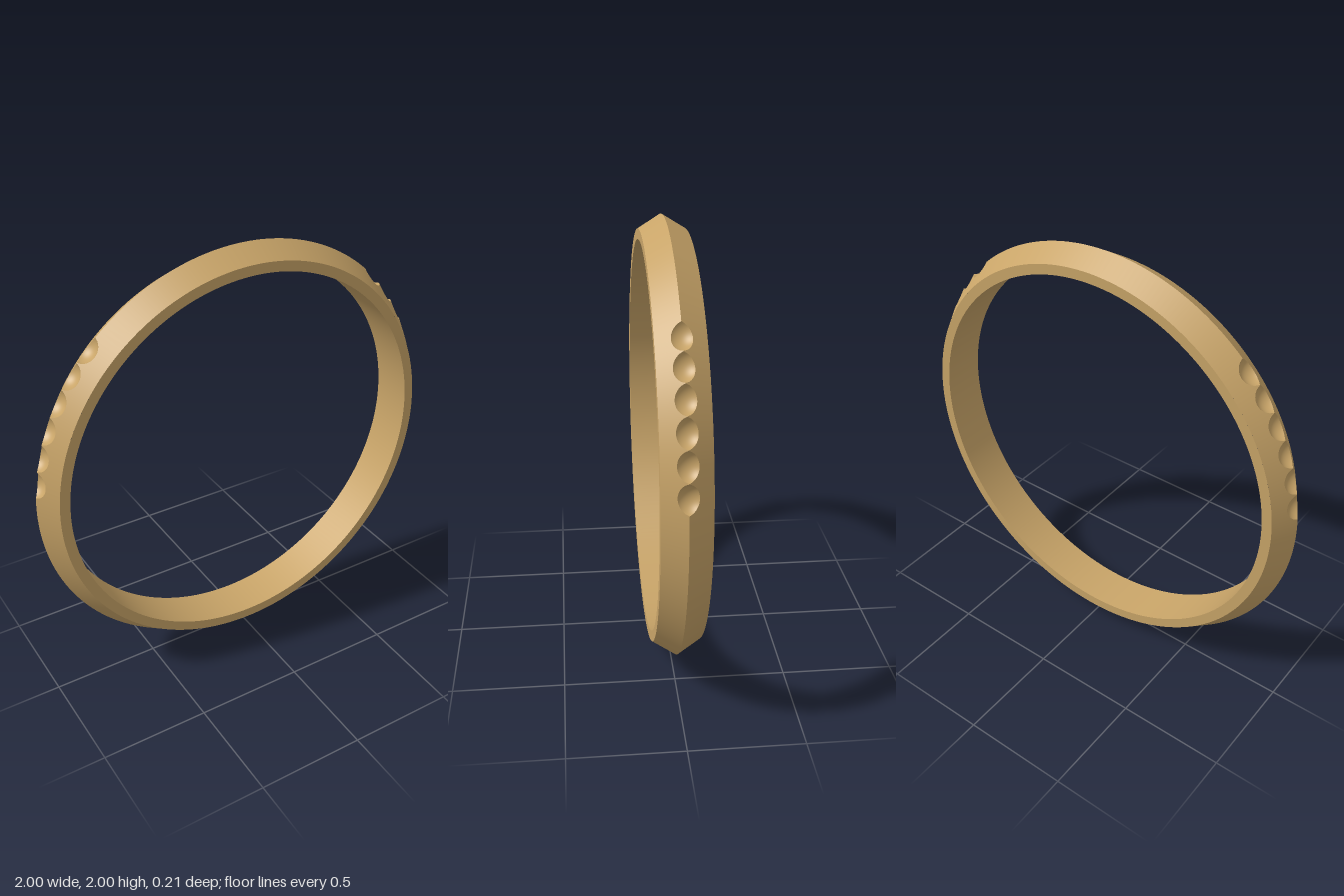
import * as THREE from 'three';
import { mergeGeometries } from 'three/addons/utils/BufferGeometryUtils.js';

// Band section: ridge radius, shoulder radius, bore radius, half width
const RIDGE = 1, SHOULDER = 0.937, BORE = 0.89, HALF = 0.103;
const SLOPE = (RIDGE - SHOULDER) / HALF;
// Spherical scoops cut along the ridge
const SCOOP_R = 0.07, SCOOP_DIST = 1.03, STEPS = 20;
const rad = THREE.MathUtils.degToRad;
const SPAN = Math.acos((1 + SCOOP_DIST ** 2 - SCOOP_R ** 2) / (2 * SCOOP_DIST));

const scoopAngles = [];
for (let i = 0; i < 6; i++) {
  const a = rad(8.2 + 7.2 * i);
  scoopAngles.push(a, Math.PI - a);
}

// Half width of a scoop's rim on the sloped face, at angle d from its centre
function rimWidth(d) {
  const k = SCOOP_DIST * Math.cos(d);
  const a = SLOPE ** 2 + 1;
  const b = 2 * SLOPE * (k - 1);
  const c = 1 + SCOOP_DIST ** 2 - 2 * k - SCOOP_R ** 2;
  return c >= 0 ? 0 : (-b + Math.sqrt(b * b - 4 * a * c)) / (2 * a);
}

function widthAt(t) {
  const centre = scoopAngles.find((a) => Math.abs(a - t) <= SPAN + 1e-6);
  return centre === undefined ? 0 : rimWidth(t - centre);
}

// Surface from a list of angles and rows across the band; point() gives position and normal
function surface(angles, rows, point) {
  const pos = [], nor = [], index = [];
  angles.forEach((t, i) => {
    for (let j = 0; j <= rows; j++) {
      const [p, n] = point(t, j / rows);
      pos.push(p.x, p.y, p.z);
      nor.push(n.x, n.y, n.z);
      if (i < angles.length - 1 && j < rows) {
        const a = i * (rows + 1) + j, b = a + rows + 1;
        index.push(a, b, a + 1, b, b + 1, a + 1);
      }
    }
  });
  const g = new THREE.BufferGeometry();
  g.setAttribute('position', new THREE.Float32BufferAttribute(pos, 3));
  g.setAttribute('normal', new THREE.Float32BufferAttribute(nor, 3));
  g.setIndex(index);
  return g;
}

const polar = (r, t, z) => new THREE.Vector3(r * Math.cos(t), r * Math.sin(t), z);

// Sloped outer face on one side, with its ridge edge following the scoop rims
function slopedFace(angles, side) {
  return surface(angles, 1, (t, v) => {
    const w = widthAt(t);
    const z = side > 0 ? w + (HALF - w) * v : -HALF + (HALF - w) * v;
    return [polar(RIDGE - SLOPE * Math.abs(z), t, z), polar(1, t, side * SLOPE).normalize()];
  });
}

function scoopFace(centre) {
  const c = polar(SCOOP_DIST, centre, 0);
  const angles = Array.from({ length: STEPS + 1 }, (_, i) => centre + SPAN * (2 * i / STEPS - 1));
  return surface(angles, 12, (t, v) => {
    const d = t - centre, z = rimWidth(d) * (2 * v - 1);
    const s = SCOOP_R ** 2 - z * z - (SCOOP_DIST * Math.sin(d)) ** 2;
    const p = polar(SCOOP_DIST * Math.cos(d) - Math.sqrt(Math.max(s, 0)), t, z);
    return [p, c.clone().sub(p).normalize()];
  });
}

// Straight piece of the section turned about the z axis
function turned(r0, z0, r1, z1) {
  const pts = [new THREE.Vector2(r0, z0), new THREE.Vector2(r1, z1)];
  return new THREE.LatheGeometry(pts, 240).rotateX(Math.PI / 2);
}

export function createModel() {
  const group = new THREE.Group();
  group.name = 'ring';
  const gold = new THREE.MeshStandardMaterial({ color: 0xc8a468 });
  const add = (name, geometry) => {
    const mesh = new THREE.Mesh(geometry, gold);
    mesh.name = name;
    mesh.position.y = 1;
    group.add(mesh);
  };

  // Angles round the band: even steps, plus finer ones matching each scoop
  const angles = [];
  for (let i = 0; i <= 240; i++) {
    const t = -Math.PI / 2 + (i / 240) * Math.PI * 2;
    if (!scoopAngles.some((a) => Math.abs(a - t) < SPAN + 1e-4)) angles.push(t);
  }
  for (const a of scoopAngles) {
    for (let i = 0; i <= STEPS; i++) angles.push(a + SPAN * (2 * i / STEPS - 1));
  }
  angles.sort((a, b) => a - b);

  add('frontSlope', slopedFace(angles, 1));
  add('backSlope', slopedFace(angles, -1));
  add('frontRim', turned(SHOULDER, HALF, BORE, HALF));
  add('backRim', turned(BORE, -HALF, SHOULDER, -HALF));
  add('innerBore', turned(BORE, HALF, BORE, -HALF));

  // Rows of scoops on the left and right shoulders
  const left = scoopAngles.filter((a) => a < Math.PI / 2);
  const right = scoopAngles.filter((a) => a > Math.PI / 2);
  add('leftScoops', mergeGeometries(left.map(scoopFace)));
  add('rightScoops', mergeGeometries(right.map(scoopFace)));
  return group;
}
